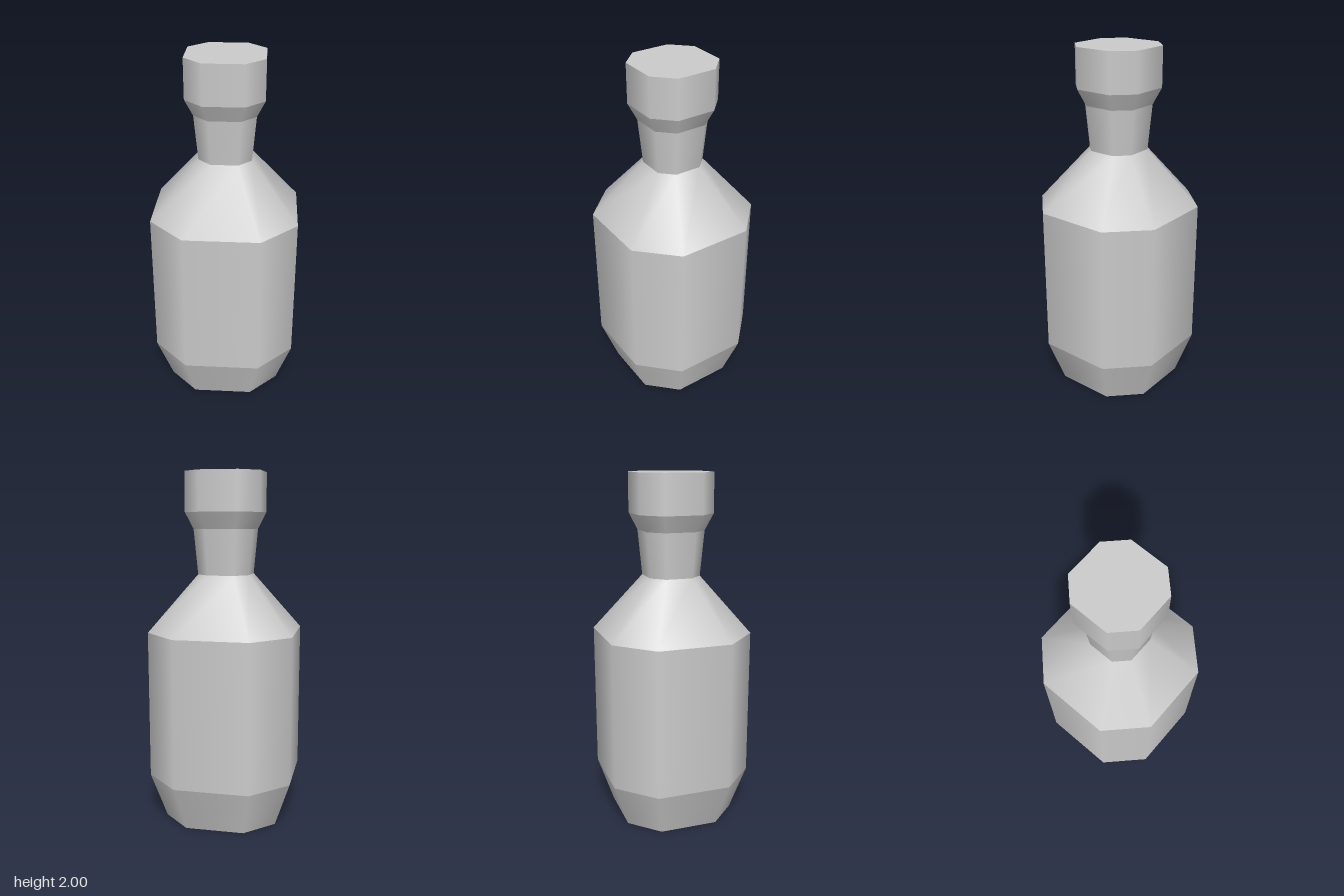
import * as THREE from 'three';

const SIDES = 8;
const START = Math.PI / 8;
const CORNER = 0.514; // half width of a main face relative to its distance from the axis

const material = new THREE.MeshStandardMaterial({ color: 0xcccccc });

// Moves octagon corners so the four main faces are wider than the diagonal ones
function widenFaces(geometry, radiusAt) {
  const p = geometry.attributes.position;
  for (let i = 0; i < p.count; i++) {
    const x = p.getX(i), z = p.getZ(i);
    if (Math.hypot(x, z) < 1e-6) continue; // cap centre
    const r = radiusAt(p.getY(i));
    const alongX = Math.abs(x) > Math.abs(z);
    p.setX(i, Math.sign(x) * r * (alongX ? 1 : CORNER));
    p.setZ(i, Math.sign(z) * r * (alongX ? CORNER : 1));
  }
  return geometry;
}

// Open ring of walls, smooth around the axis, with hard edges to its neighbours
function band(name, y0, r0, y1, r1) {
  const h = y1 - y0;
  const geometry = new THREE.CylinderGeometry(r1, r0, h, SIDES, 1, true, START);
  widenFaces(geometry, (y) => (y > 0 ? r1 : r0));
  const mesh = new THREE.Mesh(geometry, material);
  mesh.name = name;
  mesh.position.y = (y0 + y1) / 2;
  return mesh;
}

// Flat octagonal end face
function endFace(name, y, r, up) {
  const geometry = new THREE.CircleGeometry(r, SIDES, START);
  geometry.rotateX(up ? -Math.PI / 2 : Math.PI / 2);
  widenFaces(geometry, () => r);
  const mesh = new THREE.Mesh(geometry, material);
  mesh.name = name;
  mesh.position.y = y;
  return mesh;
}

export function createModel() {
  const bottle = new THREE.Group();
  bottle.name = 'bottle';

  // Profile from the bottom up: height, radius, name of the band above
  const profile = [
    [0, 0.323, 'base'],
    [0.26, 0.409, 'body'],
    [1.106, 0.409, 'shoulder'],
    [1.43, 0.147, 'neck'],
    [1.685, 0.169, 'collar'],
    [1.778, 0.213, 'stopper'],
    [2, 0.213],
  ];
  for (let i = 0; i < profile.length - 1; i++) {
    const [y0, r0, name] = profile[i];
    const [y1, r1] = profile[i + 1];
    bottle.add(band(name, y0, r0, y1, r1));
  }

  // Closed ends
  bottle.add(endFace('bottomFace', 0, 0.323, false));
  bottle.add(endFace('stopperTop', 2, 0.213, true));
  return bottle;
}
